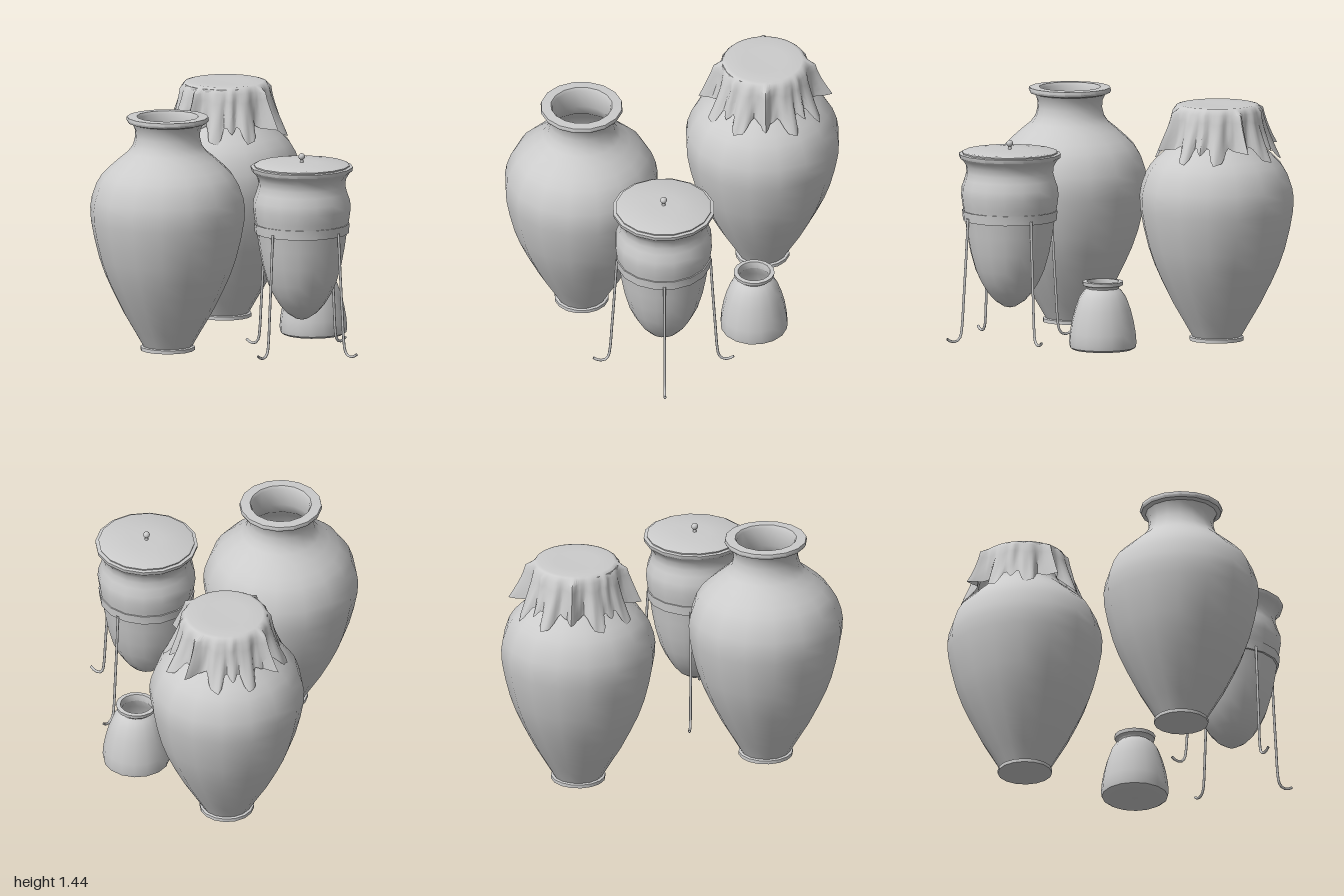
import * as THREE from 'three';
import { toCreasedNormals } from 'three/addons/utils/BufferGeometryUtils.js';

const SIDES = 16;
const material = new THREE.MeshStandardMaterial({ color: 0xcccccc });
const doubleSided = new THREE.MeshStandardMaterial({ color: 0xcccccc, side: THREE.DoubleSide });

// Faceted turned shape; profile is [radius, height], with flats facing the axes
function turned(name, profile, crease = 0.75) {
  const points = profile.map(([r, y]) => new THREE.Vector2(r, y));
  const lathe = new THREE.LatheGeometry(points, SIDES, Math.PI / SIDES);
  const mesh = new THREE.Mesh(toCreasedNormals(lathe, crease), material);
  mesh.name = name;
  return mesh;
}

function groupAt(name, x, z, ...parts) {
  const group = new THREE.Group();
  group.name = name;
  group.position.set(x, 0, z);
  group.add(...parts);
  return group;
}

// Tall storage jar: foot ring, swelling body, neck, flat rim, hollow inside
const JAR = [
  [0, 0.015], [0.163, 0.015], [0.163, 0.036], [0.148, 0.04], [0.2, 0.13], [0.265, 0.24], [0.33, 0.37],
  [0.375, 0.47], [0.41, 0.57], [0.44, 0.69], [0.46, 0.8], [0.464, 0.88], [0.455, 0.94], [0.428, 1.02],
  [0.395, 1.075], [0.352, 1.12], [0.29, 1.175], [0.235, 1.22], [0.207, 1.26], [0.194, 1.31],
  [0.197, 1.355], [0.214, 1.39], [0.24, 1.398], [0.248, 1.412], [0.244, 1.43], [0.185, 1.432],
  [0.175, 1.415], [0.172, 1.3], [0.21, 1.22], [0.33, 1.11], [0.43, 0.93], [0.43, 0.8],
  [0.35, 0.48], [0.14, 0.08], [0, 0.07],
];

// Small squat pot with a narrow collar
const SMALL_POT = [
  [0, 0], [0.18, 0], [0.198, 0.012], [0.203, 0.04], [0.198, 0.1], [0.186, 0.17], [0.168, 0.24],
  [0.143, 0.31], [0.115, 0.35], [0.096, 0.366], [0.1, 0.376], [0.12, 0.386], [0.123, 0.408],
  [0.097, 0.41], [0.09, 0.37], [0.13, 0.3], [0.175, 0.18], [0.18, 0.04], [0, 0.03],
];

// Pointed pot that hangs in the stand
const POINTED_POT = [
  [0, 0.202], [0.035, 0.21], [0.09, 0.245], [0.135, 0.295], [0.175, 0.36], [0.207, 0.43],
  [0.238, 0.54], [0.258, 0.65], [0.272, 0.75], [0.285, 0.82], [0.293, 0.88], [0.29, 0.93],
  [0.272, 0.98], [0.261, 1.02], [0.265, 1.06], [0.286, 1.095], [0.304, 1.11], [0.307, 1.132],
  [0.285, 1.135], [0.25, 1.05], [0.25, 0.9], [0.2, 0.5], [0, 0.25],
];

// Piecewise interpolation of [x, ...values] keys with eased steps
function blend(keys, x) {
  let i = 0;
  while (i < keys.length - 2 && x > keys[i + 1][0]) i++;
  const [a, b] = [keys[i], keys[i + 1]];
  const t = THREE.MathUtils.smoothstep(x, a[0], b[0]);
  return a.slice(1).map((v, k) => THREE.MathUtils.lerp(v, b[k + 1], t));
}

// Square cloth over the jar mouth: four pinched corners with loose flaps between
function cloth() {
  const AROUND = 128, ROWS = 9;
  // angle from nearest corner, shoulder radius, hem radius, hem height
  const folds = [
    [0, 0.305, 0.4, 1.185], [0.12, 0.268, 0.305, 1.19], [0.25, 0.26, 0.285, 1.21],
    [0.42, 0.27, 0.365, 1.125], [0.55, 0.265, 0.375, 1.115], [0.66, 0.262, 0.3, 1.215],
    [Math.PI / 4, 0.275, 0.335, 1.17],
  ];
  const position = [0, 1.438, 0], index = [];
  for (let row = 0; row < ROWS; row++) {
    for (let j = 0; j < AROUND; j++) {
      const angle = (j / AROUND) * Math.PI * 2;
      const quarter = Math.PI / 2;
      const d = Math.abs(angle - Math.round(angle / quarter) * quarter);
      const [shoulder, hem, hemY] = blend(folds, d);
      let r, y;
      if (row < 3) {
        r = [0.13, 0.225, 0.245][row];
        y = [1.439, 1.441, 1.436][row];
      } else {
        const t = (row - 3) / (ROWS - 4);
        r = THREE.MathUtils.lerp(shoulder, hem, Math.pow(t, 1.25));
        y = THREE.MathUtils.lerp(1.405, hemY, t);
        r += 0.007 * t * Math.sin(angle * 23 + t * 3);
      }
      position.push(r * Math.sin(angle), y, r * Math.cos(angle));
      const a = 1 + row * AROUND + j, b = 1 + row * AROUND + ((j + 1) % AROUND);
      if (row === 0) index.push(0, a, b);
      if (row < ROWS - 1) index.push(a, a + AROUND, b, b, a + AROUND, b + AROUND);
    }
  }
  const geometry = new THREE.BufferGeometry();
  geometry.setAttribute('position', new THREE.Float32BufferAttribute(position, 3));
  geometry.setIndex(index);
  const mesh = new THREE.Mesh(toCreasedNormals(geometry, 0.9), doubleSided);
  mesh.name = 'clothCover';
  mesh.position.x = 0.012;
  return mesh;
}

// Iron stand: hoop and four hooked legs
function stand() {
  const group = new THREE.Group();
  group.name = 'stand';
  group.add(turned('hoop', [
    [0.262, 0.732], [0.282, 0.732], [0.287, 0.79], [0.272, 0.79], [0.262, 0.732],
  ], 0.5));
  const path = new THREE.CatmullRomCurve3([
    [0.28, 0.755], [0.293, 0.52], [0.309, 0.27], [0.321, 0.1], [0.332, 0.045],
    [0.357, 0.02], [0.39, 0.02], [0.42, 0.037],
  ].map(([x, y]) => new THREE.Vector3(x, y, 0)));
  const legGeometry = new THREE.TubeGeometry(path, 32, 0.008, 8);
  for (let i = 0; i < 4; i++) {
    const leg = new THREE.Mesh(legGeometry, doubleSided);
    leg.name = 'leg';
    leg.rotation.y = (i * Math.PI) / 2;
    group.add(leg);
  }
  return group;
}

// Flat lid with a stem and round knob
function lid() {
  const group = new THREE.Group();
  group.name = 'lid';
  const plate = turned('lidPlate', [
    [0, 1.12], [0.284, 1.12], [0.288, 1.143], [0.275, 1.149], [0.1, 1.156], [0, 1.158],
  ]);
  const stem = new THREE.Mesh(new THREE.CylinderGeometry(0.007, 0.012, 0.035, 12), material);
  stem.name = 'lidStem';
  stem.position.y = 1.17;
  const knob = new THREE.Mesh(new THREE.SphereGeometry(0.02, 16, 12), material);
  knob.name = 'lidKnob';
  knob.position.y = 1.192;
  group.add(plate, stem, knob);
  return group;
}

export function createModel() {
  const model = new THREE.Group();
  model.name = 'potteryGroup';
  model.add(
    groupAt('openJar', -0.545, -0.095, turned('jarBody', JAR)),
    groupAt('coveredJar', 0.545, -0.525, turned('jarBody', JAR), cloth()),
    groupAt('potOnStand', -0.068, 0.55, turned('pointedPot', POINTED_POT), stand(), lid()),
    groupAt('smallPot', 0.48, 0.205, turned('smallPotBody', SMALL_POT)),
  );
  return model;
}
